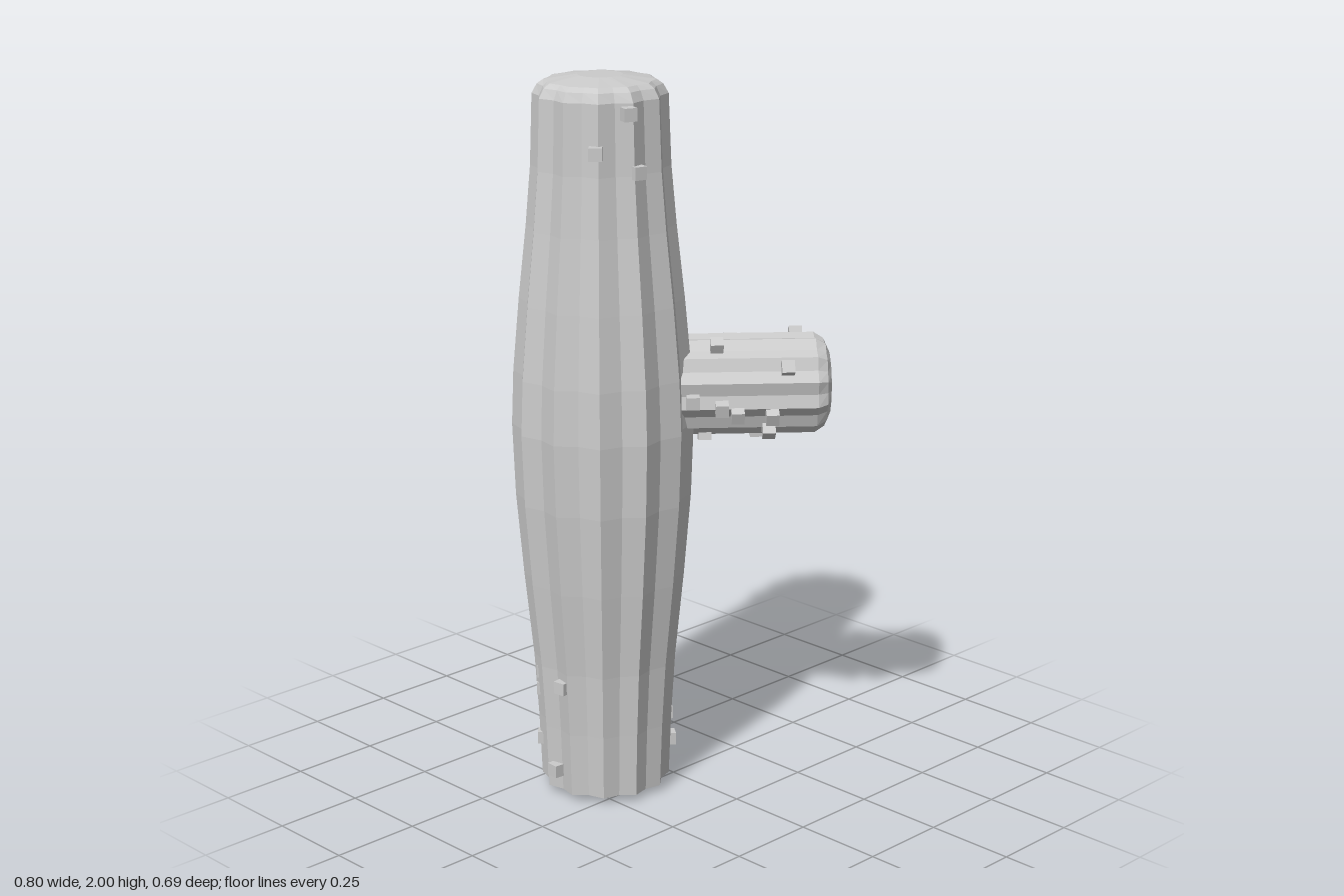
import * as THREE from 'three';

const material = new THREE.MeshStandardMaterial({ color: 0xcccccc, flatShading: true, side: THREE.DoubleSide });
const RIBS = 12;

// Lathe with pointed ribs; each profile row is [ridge radius, height, groove depth as a fraction]
function ribbedGeometry(profile) {
  const points = profile.map(([r, y]) => new THREE.Vector2(r, y));
  const lathe = new THREE.LatheGeometry(points, RIBS * 2);
  const pos = lathe.attributes.position;
  for (let i = 0; i < pos.count; i++) {
    const column = Math.floor(i / profile.length);
    if (column % 2 === 1) continue; // odd columns are the ridges
    const k = 1 - profile[i % profile.length][2];
    pos.setX(i, pos.getX(i) * k);
    pos.setZ(i, pos.getZ(i) * k);
  }
  const geometry = lathe.toNonIndexed();
  geometry.computeVertexNormals();
  return geometry;
}

function addMesh(parent, name, geometry) {
  const mesh = new THREE.Mesh(geometry, material);
  mesh.name = name;
  parent.add(mesh);
  return mesh;
}

export function createModel() {
  const model = new THREE.Group();
  model.name = 'cactus';

  // Swollen trunk with an open foot and a shallow domed top
  const trunkAxis = new THREE.Vector3(-0.163, 0, -0.107);
  const trunk = addMesh(model, 'trunk', ribbedGeometry([
    [0.178, 0.02, 0.09], [0.185, 0.2, 0.09], [0.196, 0.38, 0.09], [0.22, 0.62, 0.09],
    [0.239, 0.85, 0.09], [0.246, 1.05, 0.09], [0.24, 1.2, 0.09], [0.222, 1.4, 0.09],
    [0.2, 1.6, 0.09], [0.186, 1.76, 0.09], [0.179, 1.95, 0.09], [0.165, 1.975, 0.08],
    [0.148, 1.987, 0.06], [0.06, 2, 0.02], [0, 2, 0],
  ]));
  trunk.position.copy(trunkAxis);

  // Straight side arm with a bevelled blunt tip
  const armAngle = 0.849;
  const armAxis = new THREE.Vector3(0.0145, 1.142, -0.0165);
  const armDir = new THREE.Vector3(Math.sin(armAngle), 0, Math.cos(armAngle));
  const armGeometry = ribbedGeometry([
    [0, -0.13, 0], [0.137, -0.13, 0.09], [0.137, 0.385, 0.09],
    [0.12, 0.412, 0.07], [0.092, 0.424, 0.03], [0, 0.424, 0],
  ]);
  armGeometry.rotateX(Math.PI / 2).rotateY(armAngle);
  addMesh(model, 'arm', armGeometry).position.copy(armAxis);

  // Stubby cube thorns, turned to face away from the axis they grow from
  const thornGeometry = new THREE.BoxGeometry(0.035, 0.035, 0.032);
  const addThorn = (name, [x, y, z], origin) => {
    const thorn = addMesh(model, name, thornGeometry);
    thorn.position.set(x, y, z);
    thorn.lookAt(thorn.position.clone().multiplyScalar(2).sub(origin));
  };

  const trunkThorns = [
    [-0.23, 1.925, 0.07], [-0.3, 1.825, 0.02], [-0.2, 1.77, 0.073],
    [-0.105, 1.775, -0.283], [-0.205, 1.78, -0.285], [0.008, 1.675, -0.165],
    [-0.32, 1.66, -0.06], [-0.348, 0.34, -0.08], [0.01, 0.29, -0.18],
    [-0.015, 0.19, -0.015], [0.002, 0.185, -0.185], [-0.015, 0.115, 0],
    [0.012, 0.085, -0.16], [-0.338, 0.08, -0.12], [-0.165, 0.018, -0.272],
    [-0.105, 0.065, -0.28], [-0.285, 0.33, -0.23], [-0.285, 0.28, -0.23],
    [-0.285, 0.13, -0.23],
  ];
  for (const p of trunkThorns) addThorn('trunkThorn', p, new THREE.Vector3(trunkAxis.x, p[1], trunkAxis.z));

  const armThorns = [
    [0.215, 1.23, 0.005], [0.06, 1.265, 0.105], [0.31, 1.265, 0.16], [0.37, 1.105, 0.108],
    [-0.04, 1.13, 0.115], [0.015, 1.11, 0.17], [0.05, 1.09, 0.195], [0.12, 1.085, 0.257],
    [0.165, 1.215, 0.27], [0.14, 1.035, 0.225], [0.19, 1.008, 0.13], [0.06, 1.008, 0.06],
  ];
  for (const p of armThorns) {
    const along = new THREE.Vector3(...p).sub(armAxis).dot(armDir);
    addThorn('armThorn', p, armAxis.clone().addScaledVector(armDir, along));
  }

  return model;
}
